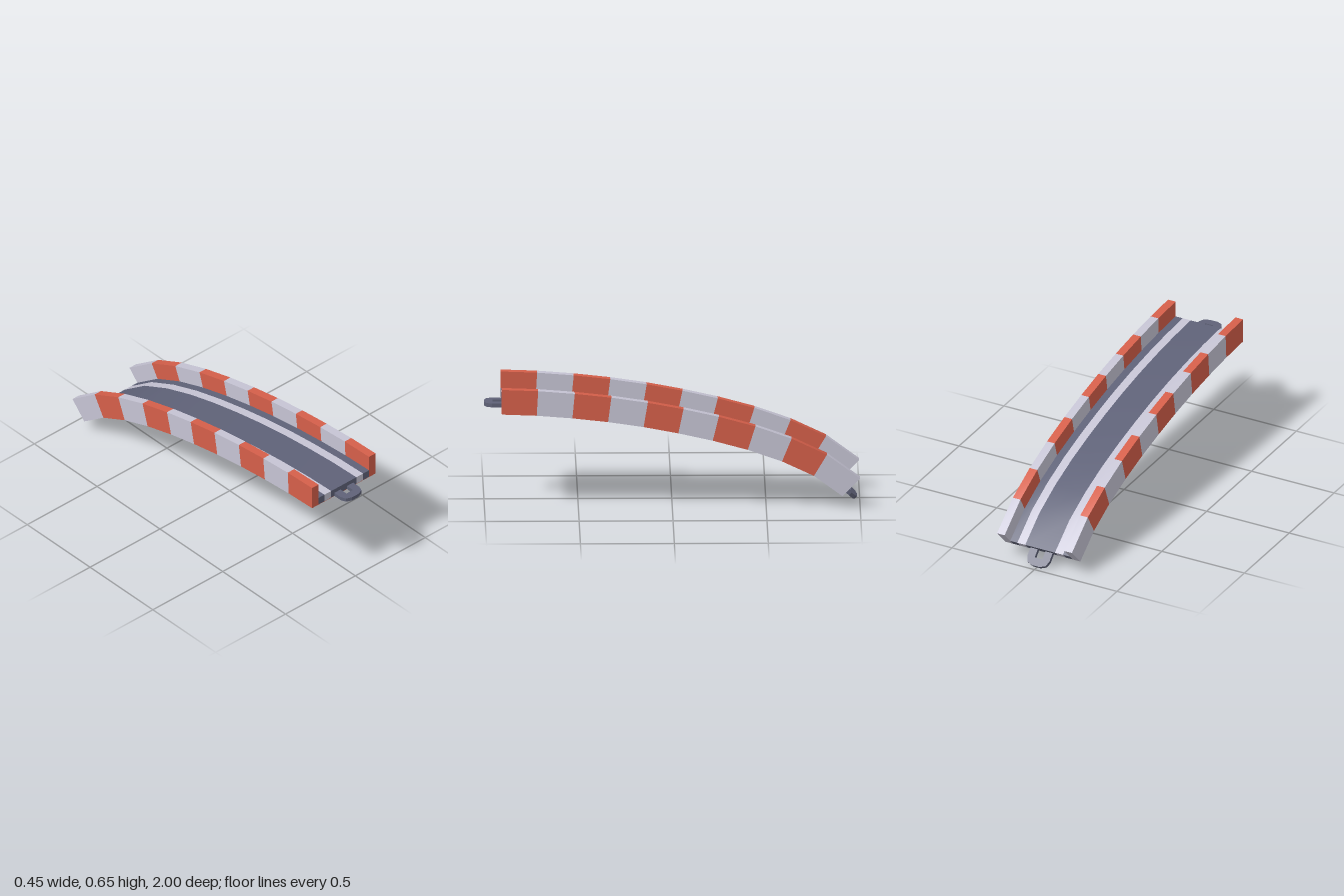
import * as THREE from 'three';

const red = new THREE.MeshStandardMaterial({ color: 0xd55f4a });
red.name = 'curbRed';
const white = new THREE.MeshStandardMaterial({ color: 0xc6c4d4 });
white.name = 'paleGrey';
const asphalt = new THREE.MeshStandardMaterial({ color: 0x5f6278 });
asphalt.name = 'asphalt';

// Underside path from the flat front end to the steep back end: [z, y]
const path = [
  [0.908, 0.52], [0.722, 0.513], [0.532, 0.498], [0.342, 0.477], [0.153, 0.449], [-0.032, 0.414],
  [-0.215, 0.373], [-0.402, 0.322], [-0.584, 0.258], [-0.754, 0.178], [-0.906, 0.066],
];
const END_PITCH = 44 * Math.PI / 180;
const last = path.length - 1;

// Downhill pitch of the track at each station
const pitch = path.map((p, i) => {
  if (i === 0) return 0;
  if (i === last) return END_PITCH;
  return Math.atan2(path[i - 1][1] - path[i + 1][1], path[i - 1][0] - path[i + 1][0]);
});

// Place a profile point (x, height above the underside) at a station
function place(i, [x, h]) {
  return [x, path[i][1] + h * Math.cos(pitch[i]), path[i][0] - h * Math.sin(pitch[i])];
}

// Sweep a counter-clockwise profile along the path; materials alternate per segment
function sweep(name, profile, materials) {
  const n = profile.length, pos = [], index = [];
  const geo = new THREE.BufferGeometry();
  const faces = THREE.ShapeUtils.triangulateShape(profile.map(([x, h]) => new THREE.Vector2(x, h)), []);

  // Each profile edge has its own vertices: smooth along the track, sharp across it
  profile.forEach((a, e) => {
    for (let i = 0; i <= last; i++) pos.push(...place(i, a), ...place(i, profile[(e + 1) % n]));
  });
  const capStart = pos.length / 3;
  for (const i of [0, last]) profile.forEach((p) => pos.push(...place(i, p)));

  for (let i = 0; i < last; i++) {
    const start = index.length;
    for (let e = 0; e < n; e++) {
      const a = e * (last + 1) * 2 + i * 2;
      index.push(a, a + 2, a + 1, a + 1, a + 2, a + 3);
    }
    if (i === 0) for (const [a, b, c] of faces) index.push(capStart + a, capStart + b, capStart + c);
    if (i === last - 1) {
      const s = capStart + n;
      for (const [a, b, c] of faces) index.push(s + a, s + c, s + b);
    }
    geo.addGroup(start, index.length - start, i % materials.length);
  }
  geo.setAttribute('position', new THREE.Float32BufferAttribute(pos, 3));
  geo.setIndex(index);
  geo.computeVertexNormals();
  const mesh = new THREE.Mesh(geo, materials);
  mesh.name = name;
  return mesh;
}

// Flat connector loop, lying in xz and reaching out along +z
function connector(name) {
  const outline = [[-0.067, -0.01], [0.067, -0.01], [0.067, 0.05], [0.055, 0.079], [0.023, 0.092],
    [-0.023, 0.092], [-0.055, 0.079], [-0.067, 0.05]];
  const hole = [[-0.023, 0], [-0.023, 0.047], [0.023, 0.047], [0.023, 0]];
  const toPoints = (list) => list.map(([x, y]) => new THREE.Vector2(x, y));
  const shape = new THREE.Shape(toPoints(outline));
  shape.holes.push(new THREE.Path(toPoints(hole)));
  const geo = new THREE.ExtrudeGeometry(shape, { depth: 0.021, bevelEnabled: false });
  geo.rotateX(Math.PI / 2);
  geo.translate(0, 0.021, 0);
  const mesh = new THREE.Mesh(geo, asphalt);
  mesh.name = name;
  return mesh;
}

export function createModel() {
  const model = new THREE.Group();
  model.name = 'curvedTrackRamp';
  const outer = 0.227, inner = 0.181, wall = 0.135, floor = 0.002, deck = 0.045;

  // Striped side walls joined by a thin striped underside
  model.add(sweep('stripedWallsAndUnderside', [
    [-outer, 0], [outer, 0], [outer, wall], [inner, wall],
    [inner, floor], [-inner, floor], [-inner, wall], [-outer, wall],
  ], [red, white]));

  // Road deck in lengthwise bands, with two pale lines
  const strip = (name, x0, x1, mat) =>
    model.add(sweep(name, [[x0, floor], [x1, floor], [x1, deck], [x0, deck]], [mat]));
  strip('roadCentre', -0.09, 0.09, asphalt);
  strip('leftLine', 0.09, 0.138, white);
  strip('rightLine', -0.138, -0.09, white);
  strip('leftRoadEdge', 0.138, inner, asphalt);
  strip('rightRoadEdge', -inner, -0.138, asphalt);

  // Connector loops at both ends
  const front = connector('frontConnector');
  front.position.set(0, path[0][1], path[0][0]);
  model.add(front);

  const back = new THREE.Group();
  back.name = 'backConnectorMount';
  back.position.set(0, path[last][1], path[last][0]);
  back.rotation.set(-END_PITCH, 0, 0);
  const loop = connector('backConnector');
  loop.rotation.y = Math.PI;
  back.add(loop);
  model.add(back);

  return model;
}
